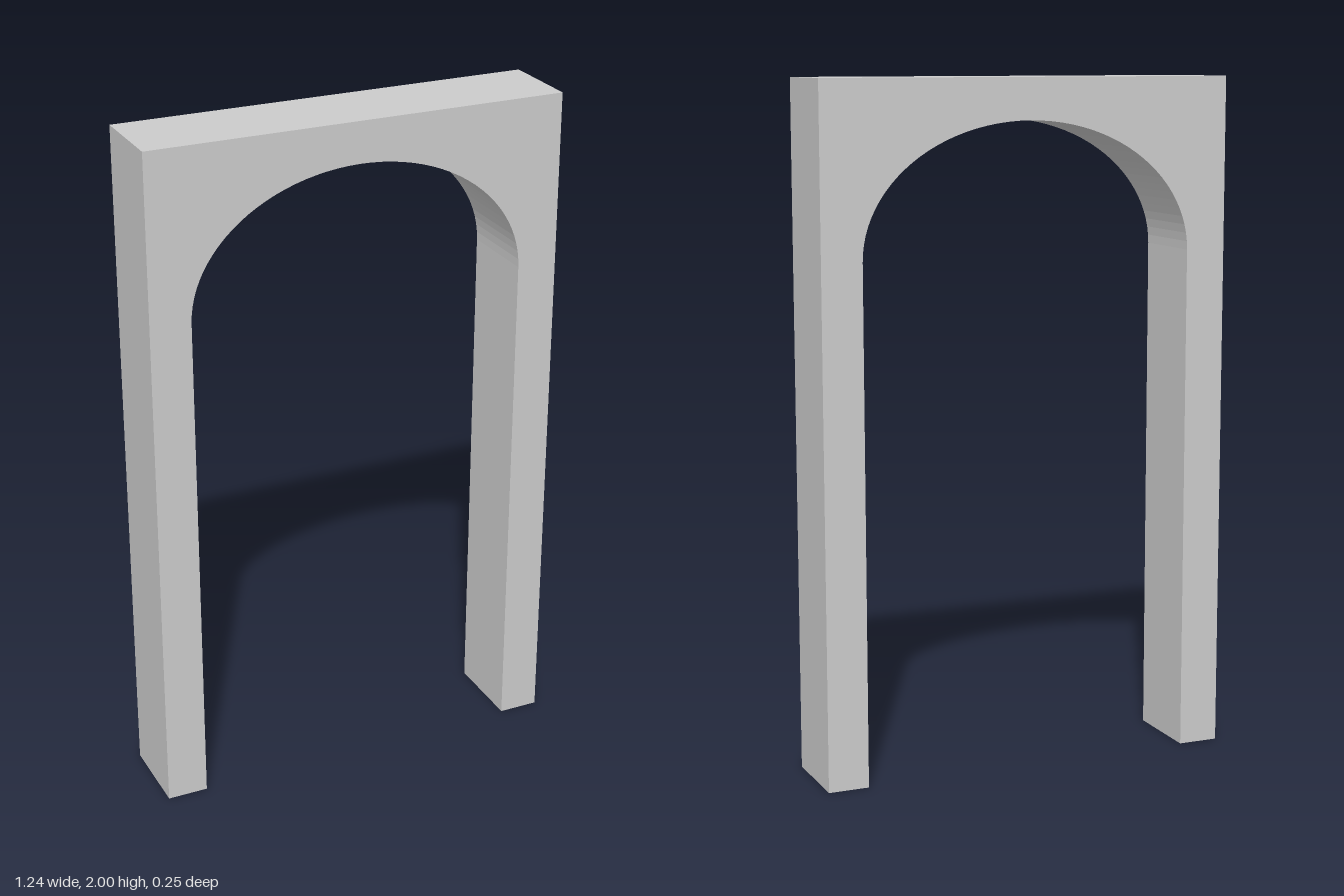
import * as THREE from 'three';

const HALF_WIDTH = 0.62, HEIGHT = 2, DEPTH = 0.25;
const OPENING = 0.5, SPRING = 1.5, RISE = 0.38;

export function createModel() {
  const group = new THREE.Group();
  group.name = 'archway';

  // Outline: two legs joined by a flat-topped lintel with an elliptical underside
  const outline = new THREE.Shape();
  outline.moveTo(OPENING, 0);
  outline.lineTo(HALF_WIDTH, 0);
  outline.lineTo(HALF_WIDTH, HEIGHT);
  outline.lineTo(-HALF_WIDTH, HEIGHT);
  outline.lineTo(-HALF_WIDTH, 0);
  outline.lineTo(-OPENING, 0);
  outline.lineTo(-OPENING, SPRING);
  outline.absellipse(0, SPRING, OPENING, RISE, Math.PI, 0, true);
  outline.closePath();

  const geometry = new THREE.ExtrudeGeometry(outline, {
    depth: DEPTH, bevelEnabled: false, curveSegments: 24,
  });
  geometry.translate(0, 0, -DEPTH / 2);

  const arch = new THREE.Mesh(
    geometry,
    new THREE.MeshStandardMaterial({ color: 0xcccccc, flatShading: true }),
  );
  arch.name = 'archFrame';
  group.add(arch);
  return group;
}
